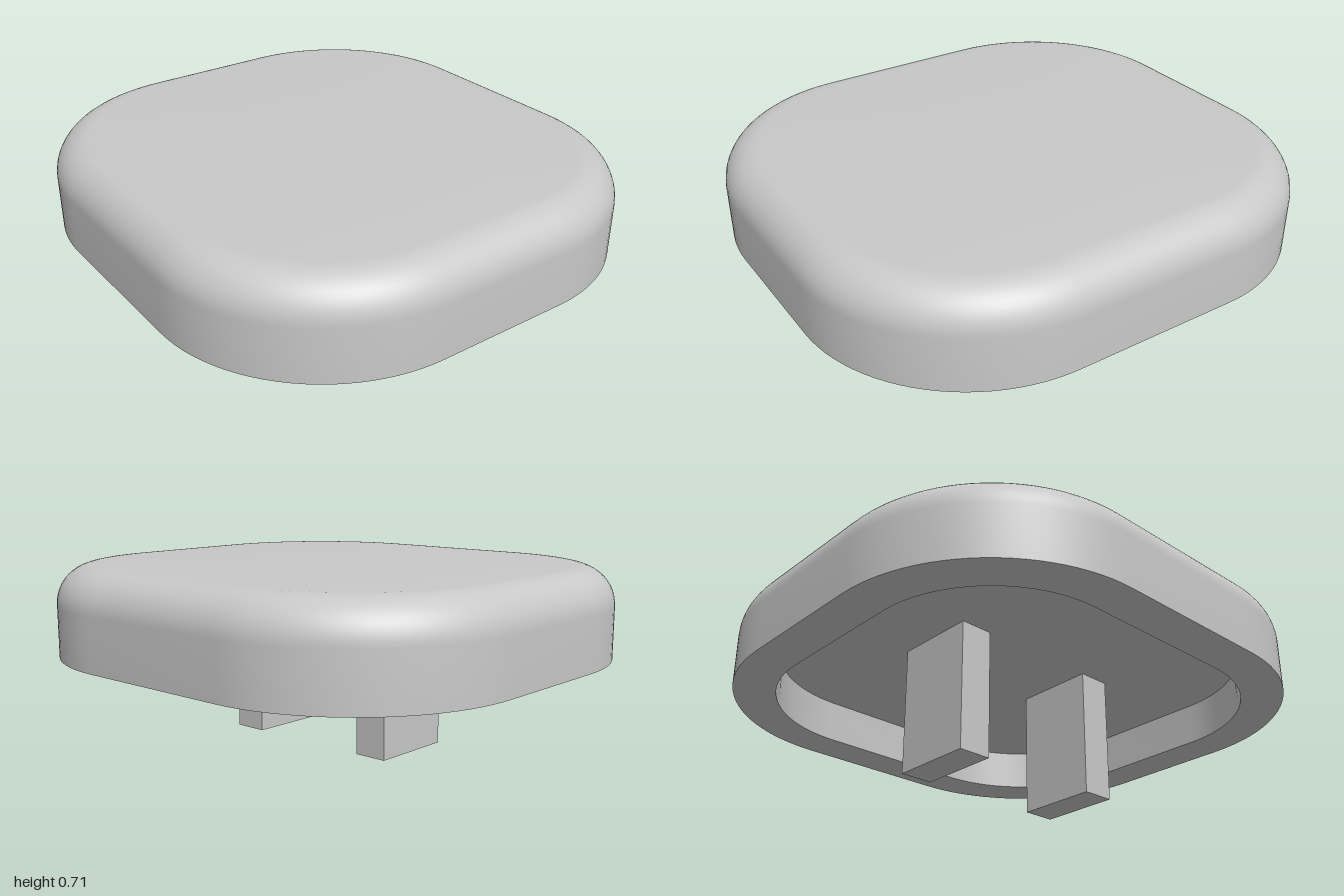
import * as THREE from 'three';
import { toCreasedNormals } from 'three/addons/utils/BufferGeometryUtils.js';

const HALF_X = 1, HALF_Z = 0.94, CORNER = 0.67;
const RIM_Y = 0.348, TOP_Y = 0.708, CEILING_Y = 0.52;
const FILLET = 0.15, WALL = 0.166;
const CORNER_STEPS = 24, FILLET_STEPS = 12;

// Rounded rectangle at height y, moved inwards by inset
function ring(inset, y) {
  const points = [];
  const signs = [[1, 1], [-1, 1], [-1, -1], [1, -1]];
  signs.forEach(([sx, sz], quarter) => {
    for (let i = 0; i <= CORNER_STEPS; i++) {
      const a = (quarter + i / CORNER_STEPS) * Math.PI / 2;
      points.push([
        sx * (HALF_X - CORNER) + (CORNER - inset) * Math.cos(a),
        y,
        sz * (HALF_Z - CORNER) + (CORNER - inset) * Math.sin(a),
      ]);
    }
  });
  return points;
}

// Skin through the rings, closed by a flat cap at both ends
function loft(rings) {
  const positions = [];
  const triangle = (a, b, c) => positions.push(...a, ...b, ...c);
  const count = rings[0].length;
  const first = rings[0], last = rings[rings.length - 1];
  const startCentre = [0, first[0][1], 0], endCentre = [0, last[0][1], 0];
  for (let j = 0; j < count; j++) {
    const k = (j + 1) % count;
    triangle(startCentre, first[j], first[k]);
    for (let i = 0; i < rings.length - 1; i++) {
      const a = rings[i][j], b = rings[i + 1][j];
      const c = rings[i + 1][k], d = rings[i][k];
      triangle(a, b, c);
      triangle(a, c, d);
    }
    triangle(last[j], endCentre, last[k]);
  }
  const geometry = new THREE.BufferGeometry();
  geometry.setAttribute('position', new THREE.Float32BufferAttribute(positions, 3));
  return toCreasedNormals(geometry, Math.PI / 5);
}

export function createModel() {
  const model = new THREE.Group();
  model.name = 'keycap';
  const plastic = new THREE.MeshStandardMaterial({ color: 0xc8c8c8 });
  plastic.name = 'grey plastic';

  // Hollow cap: recess ceiling, inner wall, rim, outer wall, rounded top edge
  const rings = [ring(WALL, CEILING_Y), ring(WALL, RIM_Y), ring(0, RIM_Y)];
  for (let i = 0; i <= FILLET_STEPS; i++) {
    const a = i / FILLET_STEPS * Math.PI / 2;
    rings.push(ring(FILLET * (1 - Math.cos(a)), TOP_Y - FILLET + FILLET * Math.sin(a)));
  }
  const cap = new THREE.Mesh(loft(rings), plastic);
  cap.name = 'cap';
  model.add(cap);

  // Two prongs hanging from the recess ceiling
  for (const [name, x] of [['leftProng', 0.322], ['rightProng', -0.33]]) {
    const prong = new THREE.Mesh(new THREE.BoxGeometry(0.136, CEILING_Y, 0.34), plastic);
    prong.name = name;
    prong.position.set(x, CEILING_Y / 2, 0.002);
    model.add(prong);
  }
  return model;
}
